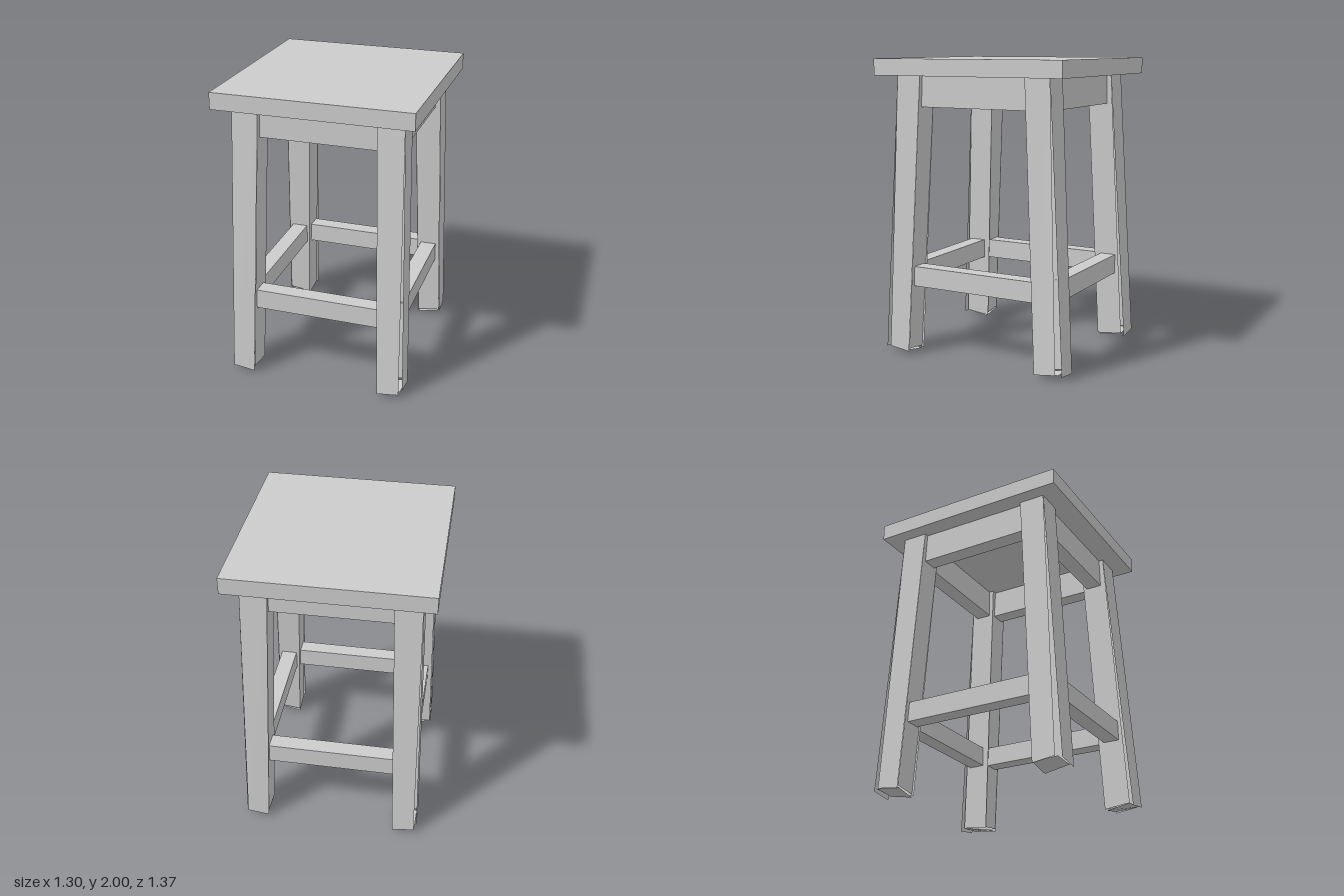
import * as THREE from 'three';

const material = new THREE.MeshStandardMaterial({ color: 0xcccccc, flatShading: true });
const boardMaterial = new THREE.MeshStandardMaterial({ color: 0xcccccc, flatShading: true, side: THREE.DoubleSide });

// One splayed leg: separate boards that open slightly at the corners toward the foot.
// Each board lists top, bottom, bottom, top for the +x +z corner.
const LEG_BOARDS = [
  [[0.385, 1.89, 0.56], [0.44, 0.01, 0.67], [0.59, 0.03, 0.67], [0.56, 1.89, 0.56]],   // outer, facing z
  [[0.56, 1.89, 0.56], [0.605, 0.04, 0.63], [0.605, 0.02, 0.48], [0.56, 1.89, 0.385]], // outer, facing x
  [[0.385, 1.89, 0.385], [0.445, 0.01, 0.465], [0.445, 0.03, 0.645], [0.385, 1.89, 0.56]], // inner, facing x
  [[0.56, 1.89, 0.385], [0.6, 0.04, 0.48], [0.445, 0.02, 0.48], [0.385, 1.89, 0.385]], // inner, facing z
  [[0.445, 0, 0.48], [0.595, 0.03, 0.48], [0.595, 0.04, 0.645], [0.445, 0.03, 0.645]], // foot
];

function makeLeg(sx, sz) {
  const positions = [];
  const order = sx * sz > 0 ? [0, 1, 2, 0, 2, 3] : [0, 2, 1, 0, 3, 2];
  for (const board of LEG_BOARDS) {
    for (const i of order) {
      const [x, y, z] = board[i];
      positions.push(x * sx, y, z * sz);
    }
  }
  const geometry = new THREE.BufferGeometry();
  geometry.setAttribute('position', new THREE.Float32BufferAttribute(positions, 3));
  geometry.computeVertexNormals();
  return new THREE.Mesh(geometry, boardMaterial);
}

export function createModel() {
  const group = new THREE.Group();

  function box(name, w, h, d, x, y, z) {
    const mesh = new THREE.Mesh(new THREE.BoxGeometry(w, h, d), material);
    mesh.position.set(x, y, z);
    mesh.name = name;
    group.add(mesh);
  }

  box('seat', 1.3, 0.11, 1.37, 0, 1.945, 0);

  for (const s of [1, -1]) {
    const end = s > 0 ? 'front' : 'back';
    const side = s > 0 ? 'left' : 'right';

    // Aprons under the seat
    box(end + 'Apron', 0.79, 0.205, 0.11, 0, 1.787, s * 0.475);
    box(side + 'Apron', 0.11, 0.205, 0.79, s * 0.475, 1.787, 0);

    // Stretchers between the legs
    box(end + 'Stretcher', 0.86, 0.135, 0.11, 0, 0.543, s * 0.54);
    box(side + 'Stretcher', 0.11, 0.135, 0.92, s * 0.505, 0.543, 0);

    // Legs at both corners of this end
    for (const sx of [1, -1]) {
      const leg = makeLeg(sx, s);
      leg.name = end + (sx > 0 ? 'Left' : 'Right') + 'Leg';
      group.add(leg);
    }
  }
  return group;
}
